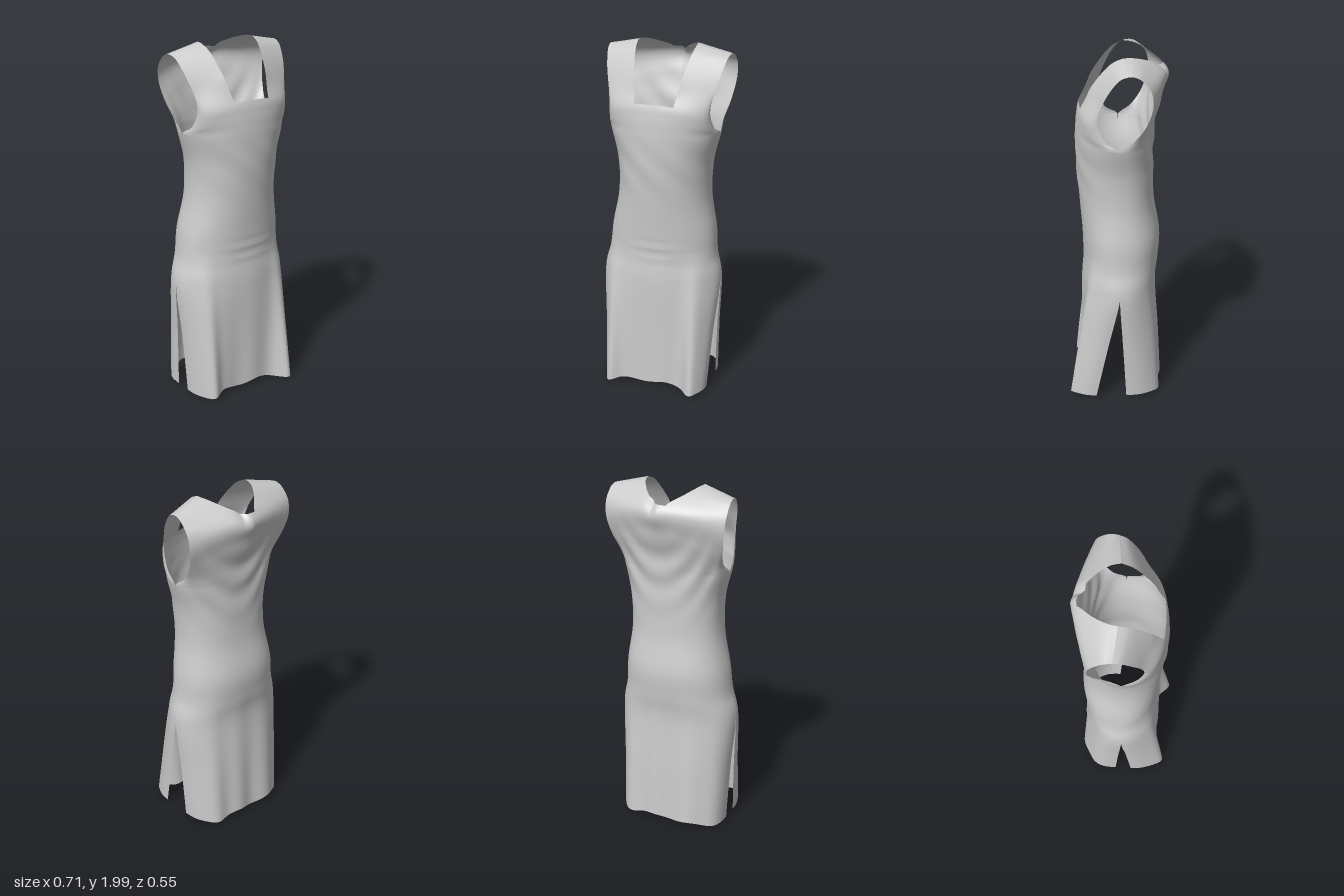
import * as THREE from 'three';

const cloth = new THREE.MeshStandardMaterial({ color: 0xcccccc, side: THREE.DoubleSide });
const { lerp, clamp, smoothstep } = THREE.MathUtils;
const bump = (v, centre, width) => Math.exp(-(((v - centre) / width) ** 2));

// Body from hem to underarm: [height, half width, front z, back z]
const BODY = [
  [0.035, 0.311, 0.212, -0.235],
  [0.35, 0.325, 0.21, -0.222],
  [0.65, 0.343, 0.21, -0.205],
  [0.8, 0.312, 0.2, -0.22],
  [0.95, 0.297, 0.205, -0.228],
  [1.15, 0.263, 0.22, -0.195],
  [1.35, 0.267, 0.236, -0.188],
  [1.5, 0.303, 0.24, -0.188],
];
// Yoke from underarm to shoulder: [neck y, neck x, neck z, armhole y, armhole x, armhole z]
const FRONT_YOKE = [
  [1.57, 0.11, 0.238, 1.535, 0.308, 0.012],
  [1.64, 0.11, 0.232, 1.575, 0.295, 0.075],
  [1.71, 0.11, 0.217, 1.66, 0.285, 0.115],
  [1.8, 0.127, 0.168, 1.75, 0.295, 0.105],
  [1.9, 0.147, 0.1, 1.85, 0.32, 0.06],
  [1.965, 0.16, 0.04, 1.925, 0.337, 0.005],
  [1.995, 0.167, -0.02, 1.948, 0.345, -0.04],
];
const BACK_YOKE = [
  [1.57, 0.11, -0.192, 1.535, 0.308, -0.012],
  [1.66, 0.1, -0.206, 1.585, 0.305, -0.075],
  [1.77, 0.085, -0.238, 1.67, 0.325, -0.135],
  [1.86, 0.06, -0.268, 1.78, 0.345, -0.17],
  [1.92, 0.04, -0.235, 1.87, 0.352, -0.16],
  [1.965, 0.11, -0.15, 1.93, 0.351, -0.112],
  [1.99, 0.152, -0.08, 1.949, 0.348, -0.072],
  [1.995, 0.167, -0.02, 1.948, 0.345, -0.04],
];

const slitAt = y => Math.max(0, 1 - y / 0.65);
const flareAt = y => (Math.max(0, 0.85 - y) / 0.85) ** 0.85;

// Smooth interpolation of all the columns of a row table
function rowAt(rows, t) {
  const i = Math.min(Math.floor(t), rows.length - 2), f = t - i;
  const at = k => rows[clamp(k, 0, rows.length - 1)];
  return rows[i].map((b, c) => {
    const d = at(i + 1)[c], m0 = (d - at(i - 1)[c]) / 2, m1 = (at(i + 2)[c] - b) / 2;
    return b + m0 * f + (3 * (d - b) - 2 * m0 - m1) * f * f + (2 * (b - d) + m0 + m1) * f ** 3;
  });
}

// Folds of the cloth, as an outward offset
function frontFolds(x, y) {
  const corners = 0.08 * bump(Math.abs(x + 0.014), 0.255, 0.055) + 0.005 * Math.sin(x * 32 + 1);
  const belly = 0.004 * Math.sin(y * 95) * bump(y, 0.86, 0.07) * bump(x, 0, 0.14);
  const waist = 0.003 * Math.sin(30 * (y + x)) * bump(y, 1.35, 0.15);
  return flareAt(y) * corners + belly + waist;
}
function backFolds(x, y) {
  const drape = 0.006 * Math.sin(34 * (y - 4 * (x - 0.03) ** 2)) * bump(y, 1.55, 0.2);
  const notch = -0.03 * bump(x, 0.045, 0.02) * bump(y, 1.93, 0.04);
  const flutes = 0.008 * Math.sin(x * 34) + 0.015 * bump(Math.abs(x), 0.2, 0.06);
  return flareAt(y) * flutes + drape + notch;
}

const PANELS = [
  {
    name: 'frontPanel', side: 1, yoke: FRONT_YOKE, neckRow: 10, folds: frontFolds, slit: 0.1, skew: 0.04,
    squareness: y => 2.1 + 1.2 * slitAt(y), strap: y => smoothstep(y, 1.68, 1.84),
  },
  {
    name: 'backPanel', side: -1, yoke: BACK_YOKE, neckRow: 12, folds: backFolds, slit: -0.04, skew: 0,
    squareness: y => 2.3 + 0.7 * slitAt(y) - 1.2 * smoothstep(y, 1.55, 1.87), strap: y => smoothstep(y, 1.88, 1.97),
  },
];

// One panel of cloth with the neck opening left out above its neck row
function panel({ name, side, yoke, neckRow, folds, slit, skew, squareness, strap }) {
  const STEP = 7, INNER = 8, OUTER = 18, half = INNER + OUTER, cols = 2 * half + 1;
  const body = BODY.map(([y, x, front, back]) => [y, 0.11, side > 0 ? front : back, y, x, slit * slitAt(y)]);
  const rows = [...body, ...yoke];
  const pos = [], index = [], count = (rows.length - 1) * STEP;
  for (let i = 0; i <= count; i++) {
    const [yN, xN, zN, yA, xA, zA] = rowAt(rows, i / STEP);
    const n = squareness(yN), k = strap(yN), hem = Math.max(0, 1 - i / STEP);
    const shift = lerp(-0.014, 0.005, smoothstep(yN, 0.6, 1.4));
    for (let j = -half; j <= half; j++) {
      const a = Math.abs(j), sign = Math.sign(j), w = (a - INNER) / OUTER;
      const r = a <= INNER ? xN * a / INNER : lerp(xN, xA, Math.sin(w * Math.PI / 2));
      // Rounded section on the body, straight across on the straps
      const s = clamp(lerp(r / xA, (r - xN) / (xA - xN), k), 0, 1);
      const f = lerp(Math.max(0, 1 - s ** n) ** (1 / n), 1 - s, k);
      const x = sign * r + shift;
      const y = lerp(yN, yA, lerp(s * s, s, k)) + hem * (0.008 * Math.sin(x * 26) - 0.02 * s * s);
      const lean = sign * s ** 6 * skew * slitAt(yN);
      pos.push(x, y, zA + lean + (zN - zA) * f + side * folds(x, y) * Math.min(1, f * 1.3));
    }
  }
  for (let i = 0; i < count; i++) {
    for (let j = 0; j < cols - 1; j++) {
      const open = j >= half - INNER && j < half + INNER;
      if (i >= neckRow * STEP && open) continue;
      const a = i * cols + j, b = a + 1, c = a + cols, d = c + 1;
      if (side > 0) index.push(a, b, d, a, d, c);
      else index.push(a, d, b, a, c, d);
    }
  }
  const geo = new THREE.BufferGeometry();
  geo.setAttribute('position', new THREE.Float32BufferAttribute(pos, 3));
  geo.setIndex(index);
  geo.computeVertexNormals();
  const mesh = new THREE.Mesh(geo, cloth);
  mesh.name = name;
  return mesh;
}

export function createModel() {
  const dress = new THREE.Group();
  dress.name = 'sleevelessDress';
  // Square neckline in front, draped neckline behind, slits below the hips
  PANELS.forEach(p => dress.add(panel(p)));
  return dress;
}
